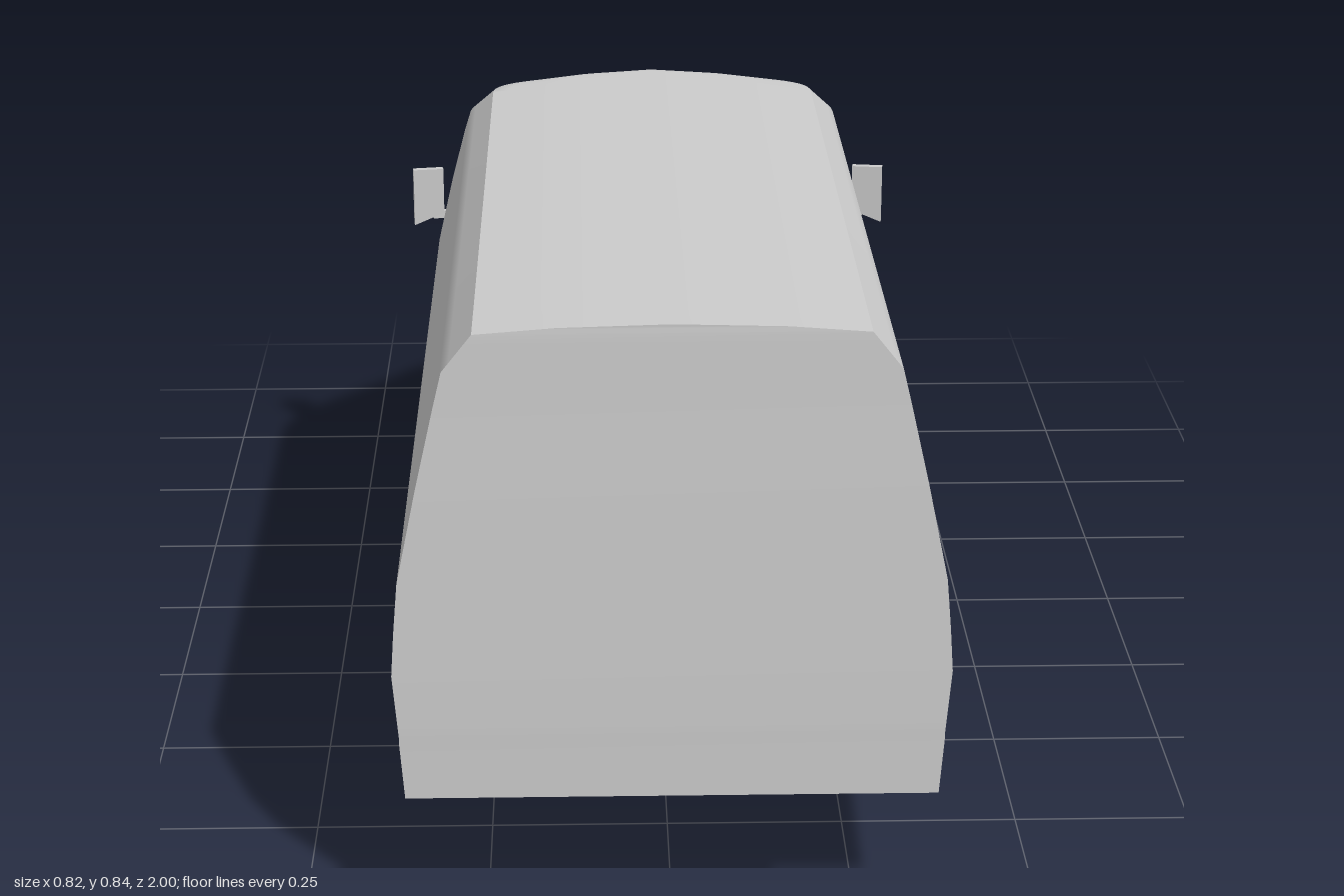
import * as THREE from 'three';
import { toCreasedNormals } from 'three/addons/utils/BufferGeometryUtils.js';

const material = new THREE.MeshStandardMaterial({ color: 0xcccccc, side: THREE.DoubleSide });

// Body layers from floor to roof: height, half width, nose z, nose depth, rear z
const LAYERS = [
  [0.13, 0.358, -0.985, 0.38, 1.0],
  [0.23, 0.364, -1.0, 0.4, 0.998],
  [0.243, 0.364, -0.99, 0.4, 0.998],
  [0.36, 0.372, -0.958, 0.42, 0.994],
  [0.42, 0.368, -0.875, 0.38, 0.991],
  [0.49, 0.362, -0.78, 0.33, 0.987],
  [0.62, 0.335, -0.625, 0.25, 0.979],
  [0.73, 0.31, -0.5, 0.2, 0.972],
  [0.78, 0.298, -0.41, 0.16, 0.969],
  [0.83, 0.258, -0.31, 0.1, 0.966],
  [0.838, 0.15, -0.31, 0.06, 0.965],
  [0.842, 0, -0.31, 0, 0.965],
];
const SUB = 4, STRAIGHT = 24, CURVE = 16;

// One point of the body shell, with the sloping floor and roof and the front wheel arch recess
function shellPoint(x, y, z) {
  const arch = Math.hypot(z + 0.62, y - 0.13);
  const dent = 0.03 * (1 - THREE.MathUtils.smoothstep(arch, 0.135, 0.16));
  const floorRise = 0.026 * (z + 1) * Math.max(0, (0.36 - y) / 0.23);
  const roofDrop = 0.011 * (0.966 - z) * Math.pow(y / 0.842, 4);
  return new THREE.Vector3(x - Math.sign(x) * Math.min(dent, Math.abs(x)), y + floorRise - roofDrop, z);
}

// U-shaped row: along the left side, round the nose and back along the right side
function layerRow([y, w, nose, depth, rear]) {
  const half = [];
  const start = nose + depth;
  for (let i = 0; i < STRAIGHT; i++) {
    const k = 1 - Math.pow(1 - i / STRAIGHT, 1.7);
    half.push([w, THREE.MathUtils.lerp(rear, start, k)]);
  }
  for (let i = 0; i < CURVE; i++) {
    const a = (i / CURVE) * Math.PI / 2;
    half.push([w * Math.pow(Math.cos(a), 0.8), start - depth * Math.pow(Math.sin(a), 0.8)]);
  }
  const mirrored = half.map(([x, z]) => [-x, z]).reverse();
  return [...half, [0, nose], ...mirrored].map(([x, z]) => shellPoint(x, y, z));
}

function bodyGeometry() {
  const rows = [];
  for (let j = 0; j < LAYERS.length - 1; j++) {
    for (let s = 0; s < SUB; s++) {
      rows.push(layerRow(LAYERS[j].map((v, k) => THREE.MathUtils.lerp(v, LAYERS[j + 1][k], s / SUB))));
    }
  }
  rows.push(layerRow(LAYERS[LAYERS.length - 1]));

  const pos = [];
  const quad = (a, b, c, d) => [a, b, c, a, c, d].forEach((p) => pos.push(p.x, p.y, p.z));
  const last = rows[0].length - 1;
  for (let j = 0; j < rows.length - 1; j++) {
    const r = rows[j], t = rows[j + 1];
    for (let i = 0; i < last; i++) quad(r[i], r[i + 1], t[i + 1], t[i]);
    quad(r[last], r[0], t[0], t[last]); // rear panel
  }
  const f = rows[0];
  for (let i = 0; i < last / 2; i++) quad(f[i], f[last - i], f[last - i - 1], f[i + 1]); // floor
  const geometry = new THREE.BufferGeometry();
  geometry.setAttribute('position', new THREE.Float32BufferAttribute(pos, 3));
  return toCreasedNormals(geometry, 0.7);
}

function addMesh(parent, name, geometry) {
  const mesh = new THREE.Mesh(geometry, material);
  mesh.name = name;
  parent.add(mesh);
  return mesh;
}

export function createModel() {
  const model = new THREE.Group();
  model.name = 'van';
  addMesh(model, 'body', bodyGeometry());

  // Wheels, on one side only
  const wheelGeometry = new THREE.CylinderGeometry(0.117, 0.117, 0.152, 14).rotateZ(Math.PI / 2);
  for (const [name, z] of [['frontWheel', -0.62], ['rearWheel', 0.455]]) {
    addMesh(model, name, wheelGeometry).position.set(0.269, 0.117, z);
  }

  // Wing mirrors with a short arm to the door
  const outline = new THREE.Shape([[0, 0.51], [0.052, 0.49], [0.052, 0.59], [0, 0.59]].map((p) => new THREE.Vector2(...p)));
  const plate = new THREE.ExtrudeGeometry(outline, { depth: 0.012, bevelEnabled: false });
  for (const side of [1, -1]) {
    const mirror = new THREE.Group();
    mirror.name = side > 0 ? 'leftMirror' : 'rightMirror';
    const glass = addMesh(mirror, 'mirrorPlate', plate);
    glass.position.set(side > 0 ? 0.358 : -0.358, 0, -0.545);
    glass.rotation.y = -side * 0.15;
    glass.scale.x = side;
    const arm = addMesh(mirror, 'mirrorArm', new THREE.BoxGeometry(0.05, 0.012, 0.012));
    arm.position.set(side * 0.352, 0.505, -0.546);
    arm.rotation.y = -side * 0.25;
    model.add(mirror);
  }
  return model;
}
